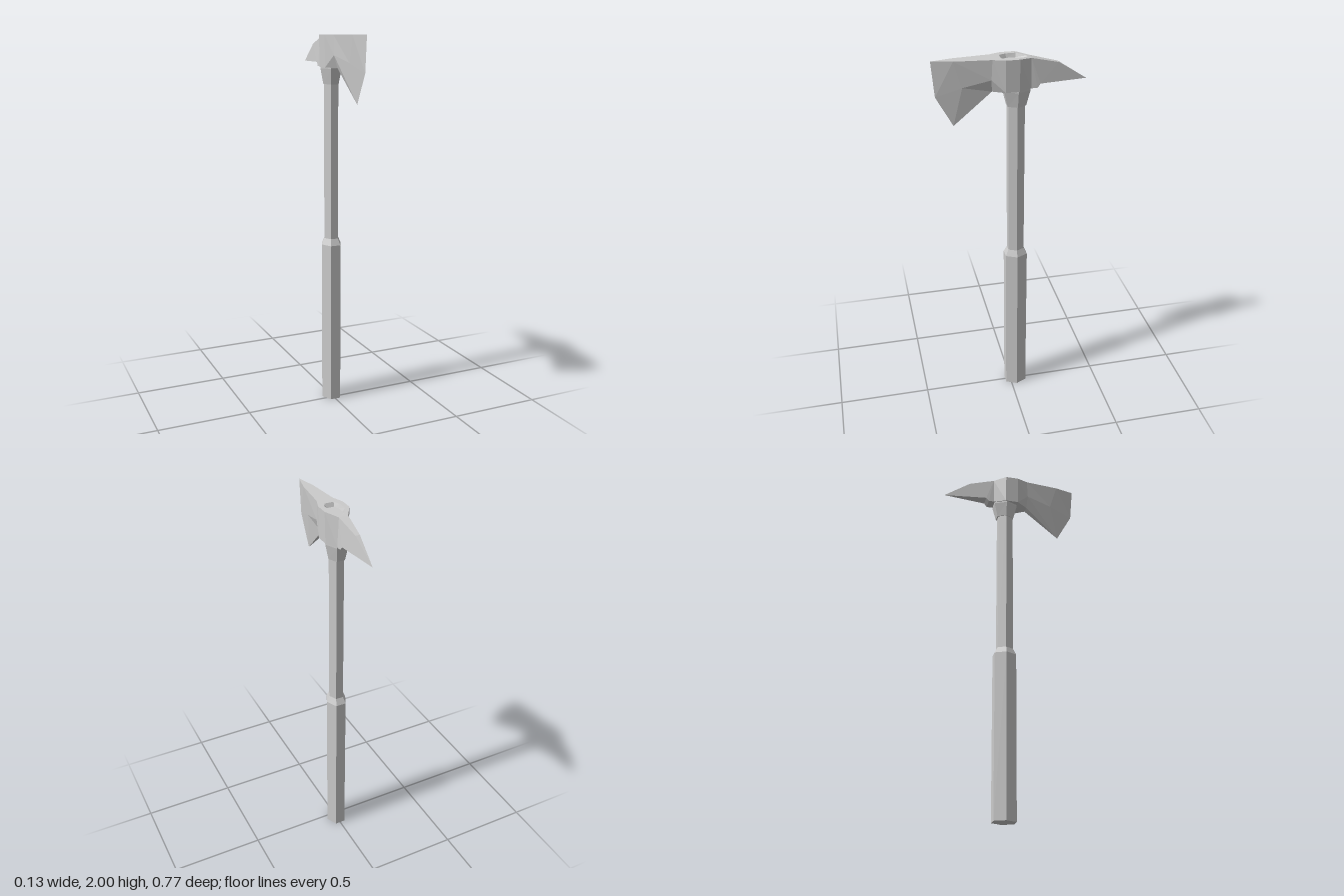
import * as THREE from 'three';

const material = new THREE.MeshStandardMaterial({ color: 0xcccccc, flatShading: true });

// Flat-shaded mesh from convex polygons of [x, y, z] corners
function polyMesh(name, faces) {
  const pos = [];
  const same = (p, q) => p.every((v, i) => Math.abs(v - q[i]) < 1e-6);
  for (const f of faces) {
    for (let i = 1; i < f.length - 1; i++) {
      const [a, b, c] = [f[0], f[i], f[i + 1]];
      if (same(a, b) || same(b, c) || same(a, c)) continue;
      pos.push(...a, ...b, ...c);
    }
  }
  const g = new THREE.BufferGeometry();
  g.setAttribute('position', new THREE.Float32BufferAttribute(pos, 3));
  g.computeVertexNormals();
  const mesh = new THREE.Mesh(g, material);
  mesh.name = name;
  return mesh;
}

// Six-sided ring, counter-clockwise seen from below
function hexRing([y, hx, zFront, zBack]) {
  const zm = (zFront + zBack) / 2, s = hx * 0.5;
  return [[hx, y, zm], [s, y, zFront], [-s, y, zFront], [-hx, y, zm], [-s, y, zBack], [s, y, zBack]].reverse();
}

// Skin over rings running from bottom to top, with end caps
function loft(name, sections) {
  const rings = sections.map(hexRing);
  const faces = [[...rings[0]].reverse(), rings[rings.length - 1]];
  for (let k = 0; k < rings.length - 1; k++) {
    for (let i = 0; i < 6; i++) {
      const j = (i + 1) % 6;
      faces.push([rings[k][i], rings[k][j], rings[k + 1][j], rings[k + 1][i]]);
    }
  }
  return polyMesh(name, faces);
}

const mirror = ([x, y, z]) => [-x, y, z];
// The top is flat over blade and eye and dips toward the spike
const topY = (z) => (z < -0.035 ? 2 + (z + 0.035) * 0.15 : 2);

function createHead() {
  // Corners of the left half
  const T = [[0, 0.385], [0.025, 0.28], [0.043, 0.095], [0.065, 0.035], [0.065, -0.035], [0.024, -0.1]]
    .map(([x, z]) => [x, topY(z), z]);
  const spikeTop = [0.011, 1.955, -0.24], tip = [0, 1.86, -0.385];
  const edge = [0, 1.82, 0.37], point = [0, 1.665, 0.285];
  const ridge1 = [0.022, 1.865, 0.24], ridge2 = [0.042, 1.9, 0.1];
  const heel = [0.02, 1.835, 0.095];
  const eyeF = [0.062, 1.838, 0.035], eyeB = [0.062, 1.838, -0.035];
  const stepA = [0.032, 1.84, -0.1], stepB = [0.032, 1.84, -0.13], stepC = [0.03, 1.86, -0.145];

  const half = [
    // blade
    [T[0], edge, T[1]], [T[1], edge, ridge1], [edge, point, ridge1],
    [T[1], ridge1, ridge2, T[2]], [ridge1, point, heel, ridge2],
    // eye
    [T[2], ridge2, eyeF, T[3]], [ridge2, heel, eyeF],
    [T[3], eyeF, eyeB, T[4]], [T[4], eyeB, stepA, T[5]],
    // spike
    [T[5], stepA, stepB], [T[5], stepB, stepC], [T[5], stepC, spikeTop], [spikeTop, stepC, tip],
  ];
  const faces = [...half, ...half.map((f) => f.map(mirror).reverse())];

  // Underside and spike top bridge the two halves
  const bridge = (a, b) => faces.push([a, b, mirror(b), mirror(a)]);
  const under = [point, heel, eyeF, eyeB, stepA, stepB, stepC, tip];
  for (let i = 0; i < under.length - 1; i++) bridge(under[i + 1], under[i]);
  bridge(T[5], spikeTop);
  bridge(spikeTop, tip);

  // Top plate with the eye opening
  const loop = (pts) => [...pts, ...pts.filter((p) => p[0] > 0).map(([x, z]) => [-x, z]).reverse()];
  const rim = loop([[0.025, 0.05], [0.039, 0.015], [0.04, -0.035], [0.011, -0.083]]);
  const floor = loop([[0.021, 0.039], [0.032, 0.013], [0.032, -0.033], [0.008, -0.074]]);
  const toV2 = ([x, z]) => new THREE.Vector2(x, -z);
  const shape = new THREE.Shape(loop(T.map((p) => [p[0], p[2]])).map(toV2));
  shape.holes.push(new THREE.Path(rim.map(toV2)));
  const topGeo = new THREE.ShapeGeometry(shape).rotateX(-Math.PI / 2);
  const p = topGeo.attributes.position;
  for (let i = 0; i < p.count; i++) p.setY(i, topY(p.getZ(i)));
  topGeo.computeVertexNormals();
  const top = new THREE.Mesh(topGeo, material);
  top.name = 'headTop';

  // Sloped recess around the handle end
  const up = rim.map(([x, z]) => [x, topY(z), z]);
  const low = floor.map(([x, z]) => [x, 1.98, z]);
  const recess = up.map((a, i) => {
    const j = (i + 1) % up.length;
    return [a, up[j], low[j], low[i]];
  });
  recess.push(low);

  const head = new THREE.Group();
  head.name = 'head';
  head.add(polyMesh('bladeAndSpike', faces), top, polyMesh('eyeRecess', recess));
  return head;
}

export function createModel() {
  const model = new THREE.Group();
  model.name = 'axe';
  model.add(
    // thick grip stepping in to a slimmer shaft
    loft('handle', [[0, 0.056, 0.03, -0.087], [0.89, 0.056, 0.03, -0.087], [0.925, 0.041, 0.014, -0.07], [1.84, 0.041, 0.014, -0.07]]),
    // flared collar under the head
    loft('collar', [[1.75, 0.044, 0.017, -0.076], [1.83, 0.06, 0.036, -0.095], [1.842, 0.06, 0.036, -0.095]]),
    createHead(),
  );
  return model;
}
